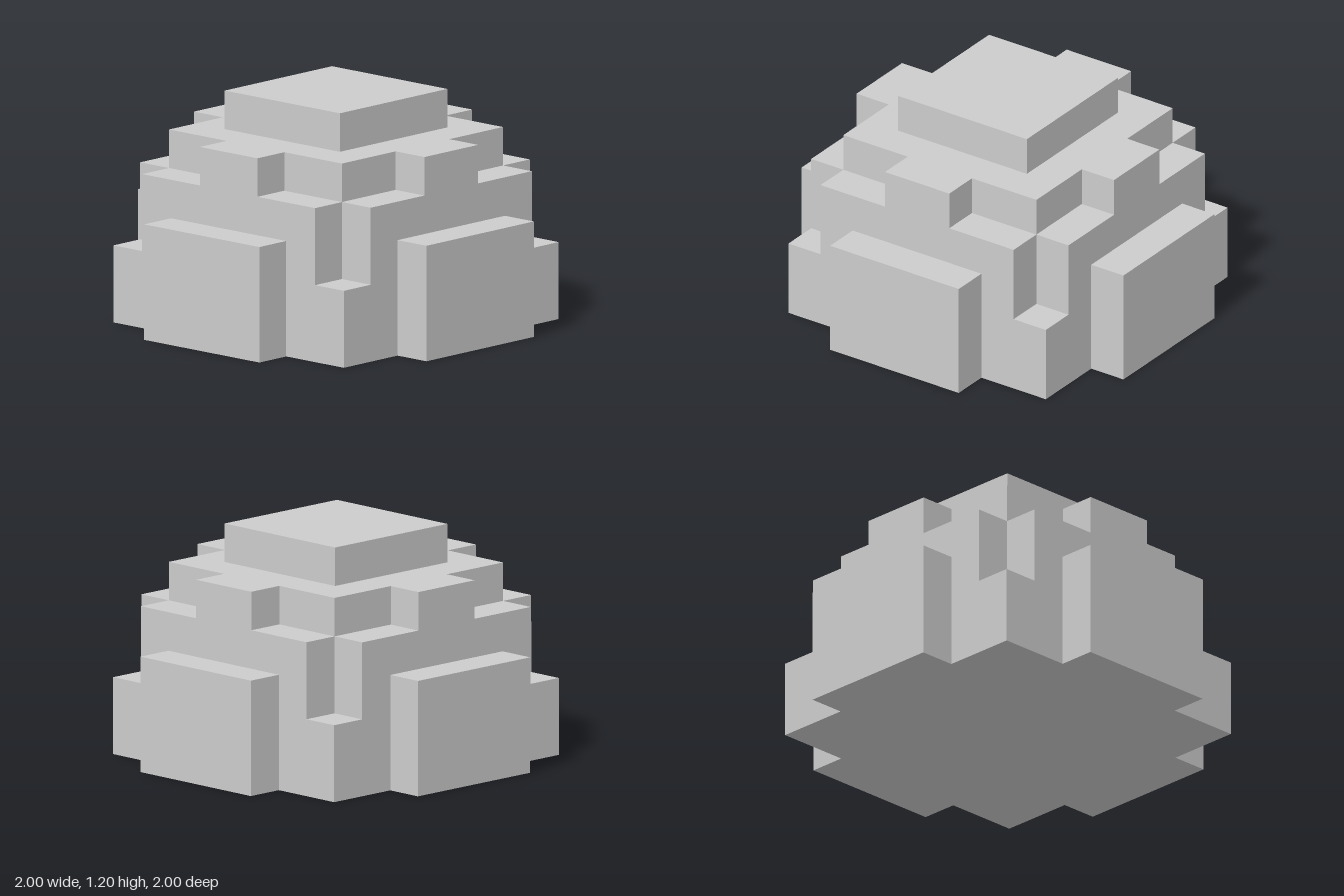
import * as THREE from 'three';

const material = new THREE.MeshStandardMaterial({ color: 0xcccccc, flatShading: true });

// One horizontal slab: a quarter outline turned four times, extruded upward
function slab(name, bottom, top, quarter) {
  const points = [];
  for (let turn = 0; turn < 4; turn++) {
    for (const [x, y] of quarter) {
      const p = new THREE.Vector2(x, y);
      for (let i = 0; i < turn; i++) p.set(-p.y, p.x);
      points.push(p);
    }
  }
  const geometry = new THREE.ExtrudeGeometry(new THREE.Shape(points), {
    depth: top - bottom,
    bevelEnabled: false,
  });
  geometry.rotateX(-Math.PI / 2).translate(0, bottom, 0);
  const mesh = new THREE.Mesh(geometry, material);
  mesh.name = name;
  return mesh;
}

export function createModel() {
  const group = new THREE.Group();
  group.name = 'blockyDome';
  group.add(
    // Square base with a wide plate standing out on each side
    slab('base', 0, 0.4, [[1, -0.4], [1, 0.4], [0.8, 0.4], [0.8, 0.8], [0.4, 0.8]]),
    // Corners notched, side plates continue
    slab('lowerWall', 0.4, 0.6,
      [[1, -0.4], [1, 0.4], [0.8, 0.4], [0.8, 0.6], [0.6, 0.6], [0.6, 0.8], [0.4, 0.8]]),
    // Above the side plates
    slab('upperWall', 0.6, 0.8, [[0.8, -0.6], [0.8, 0.6], [0.6, 0.6]]),
    // Shoulder with a narrow tab on each side
    slab('shoulder', 0.8, 1, [[0.8, -0.2], [0.8, 0.2], [0.6, 0.2], [0.6, 0.6], [0.2, 0.6]]),
    // Square cap
    slab('cap', 1, 1.2, [[0.4, -0.4]]),
  );
  return group;
}
